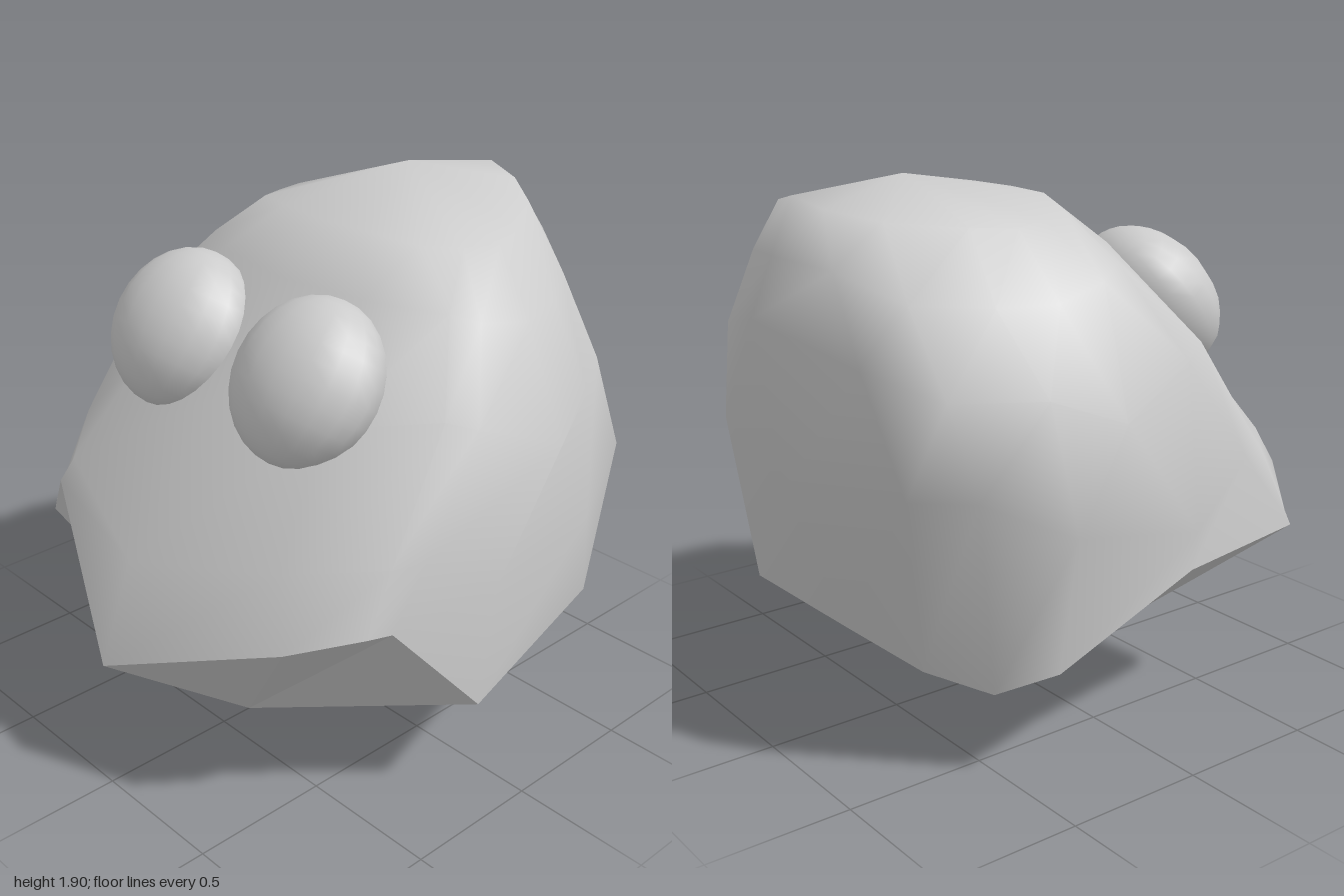
import * as THREE from 'three';

// Half cross-sections, front centre round the +x side to back centre, bottom to top
const HALF_RINGS = [
  [[0, .83, .87], [.55, .95, .7], [.8, .98, .46], [.84, .98, .35], [.9, .8, .08], [.88, .88, -.4], [.77, 1.02, -.69], [.58, 1, -.82], [0, .9, -.91]],
  [[0, 1.3, .49], [.45, 1.32, .42], [.76, 1.38, .2], [.81, 1.34, .1], [.89, 1.21, -.22], [.8, 1.3, -.45], [.64, 1.3, -.71], [.42, 1.38, -.87], [0, 1.48, -1]],
  [[0, 1.65, .2], [.35, 1.65, .15], [.58, 1.63, 0], [.63, 1.59, -.1], [.66, 1.55, -.3], [.6, 1.55, -.5], [.46, 1.56, -.72], [.25, 1.65, -.85], [0, 1.67, -.92]],
  [[0, 1.81, .02], [.2, 1.81, 0], [.38, 1.79, -.07], [.45, 1.77, -.2], [.49, 1.76, -.33], [.44, 1.77, -.48], [.3, 1.79, -.7], [.14, 1.82, -.81], [0, 1.85, -.84]],
];

// Jagged, uneven lower edge
const RIM = [
  [0, .48, 1], [.63, .72, .76], [.81, .78, .57], [.83, .77, .48], [.91, .39, .15], [.8, .5, -.53], [.61, .28, -.58], [.5, .4, -.76],
  [0, .36, -.7], [-.4, .33, -.65], [-.64, .31, -.54], [-.81, .41, -.41], [-.91, .68, .05], [-.8, .67, .63], [-.74, .66, .68], [-.62, .84, .72],
];

// Close a half section by mirroring it across x = 0
const mirrorRing = (half) => [...half, ...half.slice(1, -1).reverse().map(([x, y, z]) => [-x, y, z])];

function surface(points, index) {
  const geometry = new THREE.BufferGeometry();
  geometry.setAttribute('position', new THREE.Float32BufferAttribute(points.flat(), 3));
  geometry.setIndex(index);
  return geometry;
}

export function createModel() {
  const group = new THREE.Group();
  const n = RIM.length;
  const add = (name, geometry, options = {}) => {
    const mesh = new THREE.Mesh(geometry, new THREE.MeshStandardMaterial({ color: 0xcccccc, ...options }));
    mesh.name = name;
    group.add(mesh);
    return mesh;
  };

  // Smooth head shell lofted through the rings and closed at the crown
  const rings = [RIM, ...HALF_RINGS.map(mirrorRing)];
  const index = [];
  const crown = rings.length * n;
  for (let i = 0; i < n; i++) {
    const j = (i + 1) % n;
    for (let r = 0; r < rings.length - 1; r++) {
      const a = r * n + i, b = r * n + j;
      index.push(a, b, b + n, a, b + n, a + n);
    }
    index.push(crown - n + i, crown - n + j, crown);
  }
  const head = surface([...rings.flat(), [-.08, 1.9, -.48]], index);
  head.computeVertexNormals();
  add('head', head, { side: THREE.DoubleSide });

  // Faceted underside fanning from the lowest point to the rim
  const fan = [];
  for (let i = 0; i < n; i++) fan.push(n, (i + 1) % n, i);
  const under = surface([...RIM, [0, 0, .38]], fan).toNonIndexed();
  under.computeVertexNormals();
  add('underside', under, { flatShading: true, side: THREE.DoubleSide });

  // Flattened eyes tilted to lie along the sloping face
  for (const side of [1, -1]) {
    const eye = add(side > 0 ? 'leftEye' : 'rightEye', new THREE.SphereGeometry(1, 18, 14));
    eye.scale.set(.275, .285, .2);
    eye.position.set(side * .32, 1.425, .37);
    eye.rotation.x = -.61;
  }
  return group;
}
